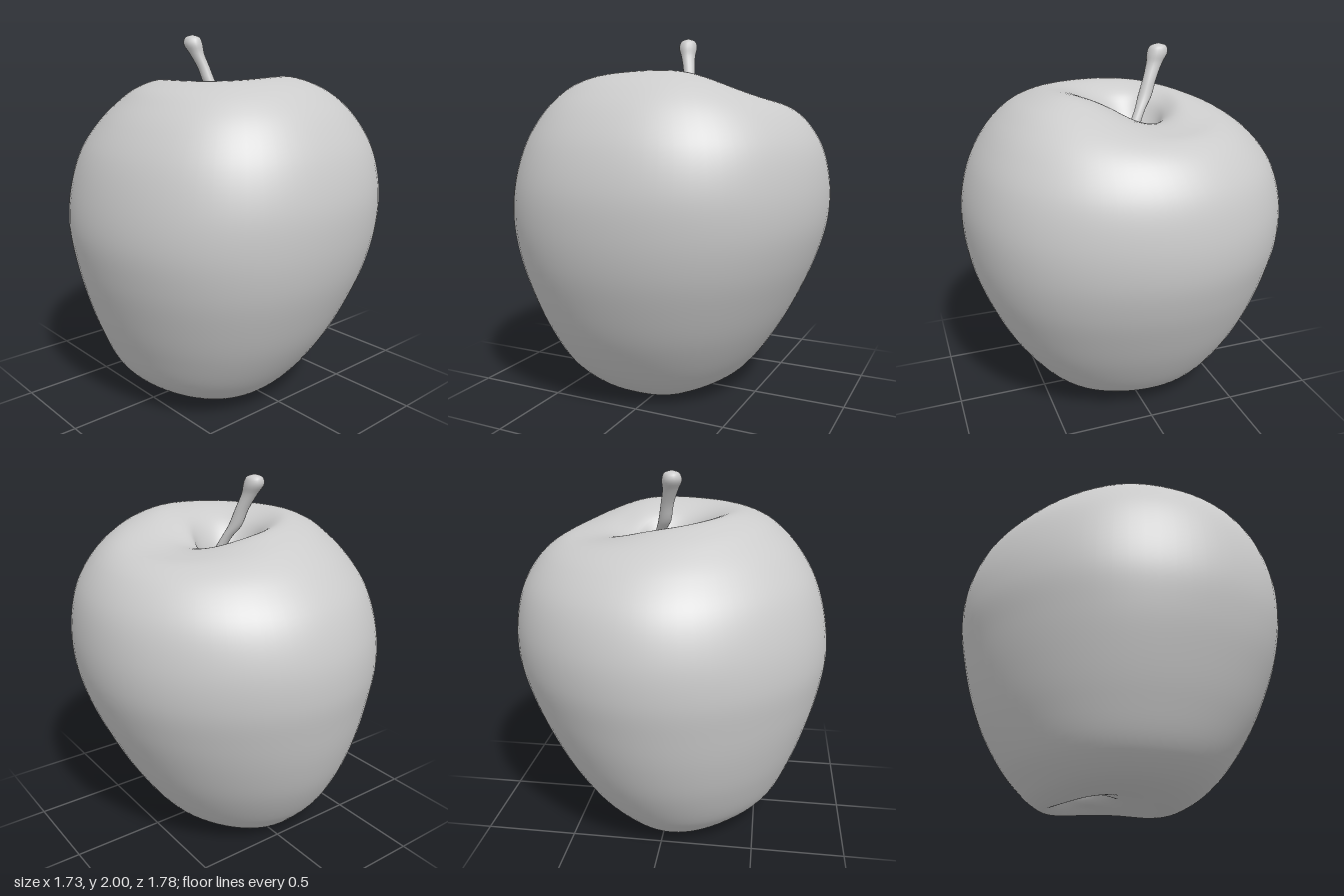
import * as THREE from 'three';

// Height of the top rim around the fruit: high in front and at -x, with a local dip at +x
const rimTilt = (a) => 0.02 - 0.015 * Math.cos(a) + 0.03 * Math.sin(a) + 0.014 * Math.sin(2 * a)
  - 0.08 * Math.max(0, Math.cos(a + 0.25)) ** 3;

// Slightly skewed outline of the fruit, fuller in front than behind
const fruitOutline = (a) => 1 - 0.018 * Math.sin(2 * a)
  + (0.009 + 0.028 * Math.sin(a)) * Math.sin(2 * a) ** 2;

// Skin stacked rings [y, xMin, xMax, zMin, zMax, tilt, notch] with a smooth surface, bottom to top;
// notch lifts a ring at both sides
function loft(rings, sides, steps, outline = () => 1) {
  const pos = [];
  const index = [];
  for (let i = 0; i < sides; i++) {
    const a = (i / sides) * Math.PI * 2;
    const k = outline(a);
    const points = rings.map(([y, x0, x1, z0, z1, tilt = 0, notch = 0]) => new THREE.Vector3(
      (x0 + x1) / 2 + ((x1 - x0) / 2) * Math.cos(a) * k,
      y + tilt * rimTilt(a) + notch * Math.cos(a) ** 4,
      (z0 + z1) / 2 + ((z1 - z0) / 2) * Math.sin(a) * k));
    const curve = new THREE.CatmullRomCurve3(points);
    for (let j = 0; j <= steps; j++) pos.push(...curve.getPoint(j / steps).toArray());
  }
  const row = steps + 1;
  for (let i = 0; i < sides; i++) {
    for (let j = 0; j < steps; j++) {
      const p = i * row + j;
      const q = ((i + 1) % sides) * row + j;
      index.push(p, p + 1, q, q, p + 1, q + 1);
    }
  }
  const geo = new THREE.BufferGeometry();
  geo.setAttribute('position', new THREE.Float32BufferAttribute(pos, 3));
  geo.setIndex(index);
  geo.computeVertexNormals();
  return geo;
}

export function createModel() {
  const group = new THREE.Group();
  const material = new THREE.MeshStandardMaterial({ color: 0xcccccc, side: THREE.DoubleSide });
  const add = (name, geo) => {
    const mesh = new THREE.Mesh(geo, material);
    mesh.name = name;
    group.add(mesh);
  };

  // Fruit: blossom hollow, lopsided body, uneven rim, stem hollow
  add('fruitBody', loft([
    [0.17, -0.02, -0.02, -0.16, -0.16],
    [0.15, -0.08, 0.05, -0.22, -0.1],
    [0.08, -0.13, 0.1, -0.28, -0.04],
    [0.03, -0.2, 0.16, -0.33, 0.1, 0, 0.03],
    [0.006, -0.3, 0.23, -0.39, 0.28, 0, 0.035],
    [0.04, -0.42, 0.3, -0.46, 0.37, 0, 0.015],
    [0.1, -0.52, 0.38, -0.525, 0.455],
    [0.2, -0.62, 0.475, -0.61, 0.55],
    [0.4, -0.715, 0.61, -0.725, 0.685],
    [0.6, -0.785, 0.715, -0.8, 0.78],
    [0.8, -0.838, 0.8, -0.85, 0.85],
    [1.0, -0.865, 0.853, -0.883, 0.885],
    [1.2, -0.845, 0.857, -0.872, 0.885],
    [1.4, -0.785, 0.812, -0.8, 0.835],
    [1.55, -0.695, 0.715, -0.675, 0.755],
    [1.64, -0.605, 0.615, -0.56, 0.67, 0.25],
    [1.7, -0.505, 0.5, -0.45, 0.56, 0.7],
    [1.735, -0.35, 0.33, -0.31, 0.39, 1],
    [1.68, -0.19, 0.21, -0.23, 0.19, 0.8],
    [1.57, -0.1, 0.18, -0.17, 0.09, 0.3],
    [1.45, -0.02, 0.15, -0.09, 0.07],
    [1.38, 0.08, 0.08, 0.01, 0.01],
  ], 72, 126, fruitOutline));

  // Stem: leaning back, narrow at the middle, knobbed at the tip; rows are [y, x, z, radius]
  const stem = [
    [1.37, 0.085, 0.03, 0.045], [1.46, 0.09, 0.01, 0.038], [1.56, 0.085, -0.03, 0.03],
    [1.66, 0.06, -0.08, 0.026], [1.73, 0.03, -0.12, 0.034], [1.82, 0.012, -0.155, 0.034],
    [1.9, -0.01, -0.19, 0.041], [1.95, -0.02, -0.21, 0.052], [1.985, -0.02, -0.215, 0.04],
    [2.0, -0.02, -0.215, 0],
  ];
  add('stem', loft(stem.map(([y, x, z, r]) => [y, x - r, x + r, z - r * 1.1, z + r * 1.1]), 16, 36));

  return group;
}
